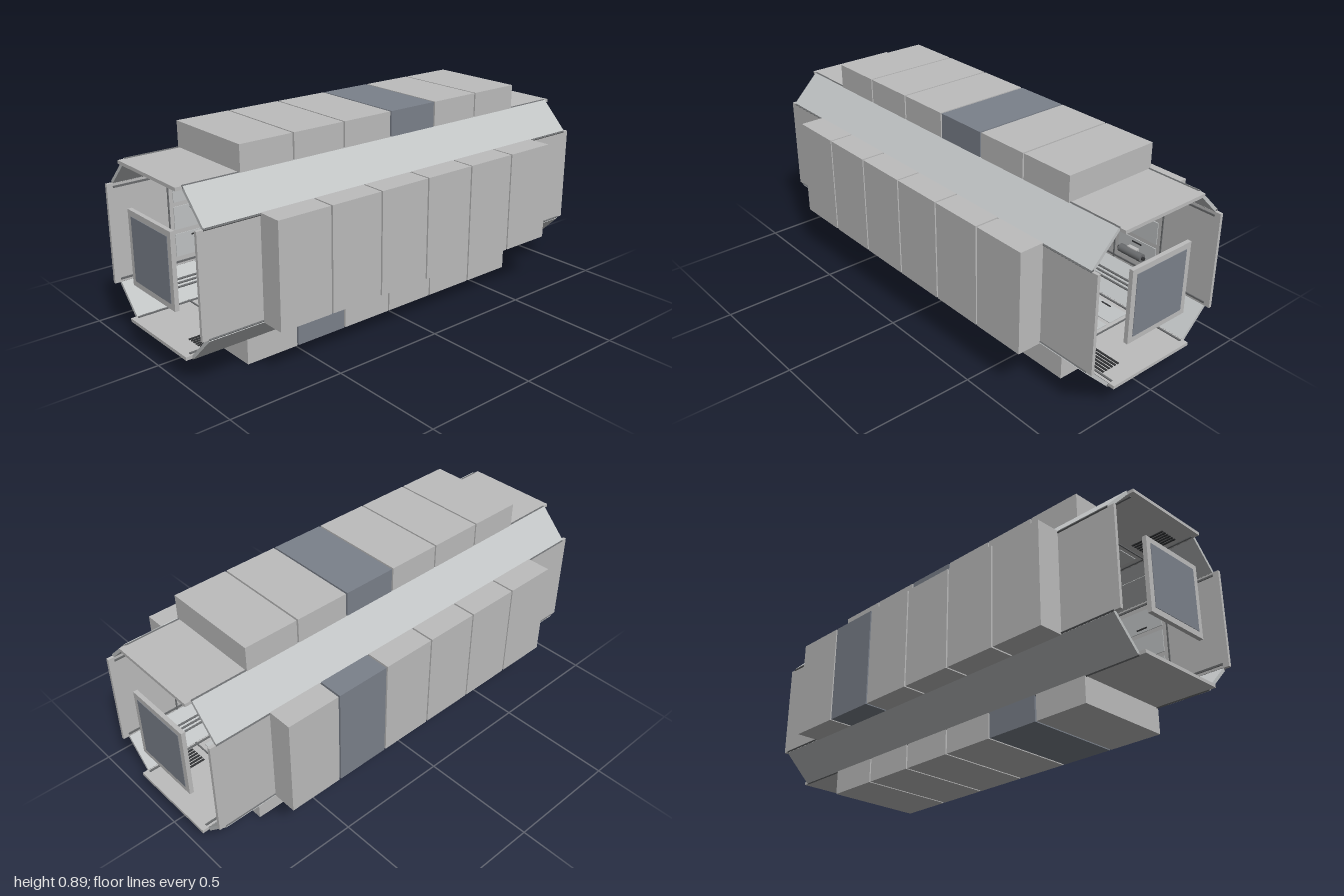
import * as THREE from 'three';

const mat = (name, color) => {
  const m = new THREE.MeshStandardMaterial({ color });
  m.name = name;
  return m;
};

export function createModel() {
  const rackGrey = mat('rackGrey', 0xbdbdbd);
  const panelGrey = mat('panelGrey', 0xc1c4c5);
  const slate = mat('slate', 0x7b818b);
  const trim = mat('darkTrim', 0x6a6c6e);
  const black = mat('black', 0x333436);

  const model = new THREE.Group();
  model.name = 'stationModule';
  const core = new THREE.Group();
  core.name = 'octagonalHull';
  core.position.y = 0.443;
  model.add(core);

  const box = (parent, name, m, w, h, d, x, y, z) => {
    const mesh = new THREE.Mesh(new THREE.BoxGeometry(w, h, d), m);
    mesh.name = name;
    mesh.position.set(x, y, z);
    parent.add(mesh);
    return mesh;
  };
  const rod = (parent, name, m, r, len, x, y, z) => {
    const mesh = new THREE.Mesh(new THREE.CylinderGeometry(r, r, len, 16), m);
    mesh.name = name;
    mesh.rotation.z = Math.PI / 2;
    mesh.position.set(x, y, z);
    parent.add(mesh);
    return mesh;
  };
  const rackX = i => -0.612 + i * 0.2445;

  // Four walls with racks; local +y points out of the hull
  const walls = ['ceiling', 'frontWall', 'floor', 'backWall'].map((name, k) => {
    const wall = new THREE.Group();
    wall.name = name;
    wall.rotation.x = k * Math.PI / 2;
    core.add(wall);
    const slateRack = [3, -1, 1, 4][k];

    box(wall, 'wallPanel', rackGrey, 1.99, 0.014, 0.42, 0, 0.329, 0);
    for (let i = 0; i < 6; i++) {
      box(wall, 'equipmentRack', i === slateRack ? slate : rackGrey,
        0.237, 0.107, 0.434, rackX(i), 0.3895, 0);
    }
    // Seams and seat tracks on the inner face
    for (let i = 0; i <= 6; i++) {
      box(wall, 'rackSeam', trim, 0.006, 0.004, 0.41, rackX(i) - 0.1222, 0.32, 0);
    }
    for (const s of [-1, 1]) {
      box(wall, 'seatTrack', trim, 1.94, 0.005, 0.008, 0, 0.32, s * 0.195);
    }
    // Drawer fronts, each a thin plate with a pull
    for (let i = 0; i < 6; i++) {
      for (const z of [-0.12, 0, 0.12]) {
        box(wall, 'drawerFront', i === slateRack ? slate : panelGrey,
          0.2, 0.005, 0.1, rackX(i), 0.321, z);
        box(wall, 'drawerPull', black, 0.05, 0.004, 0.006, rackX(i), 0.3175, z + 0.035);
      }
    }
    return wall;
  });

  // Sloped panels and corner rails between the walls
  for (let k = 0; k < 4; k++) {
    const corner = new THREE.Group();
    corner.name = 'slopedCorner';
    corner.rotation.x = Math.PI / 4 + k * Math.PI / 2;
    core.add(corner);
    box(corner, 'slopedPanel', panelGrey, 1.935, 0.014, 0.172, 0, 0.384, 0);
    for (const s of [-1, 1]) {
      box(corner, 'cornerRail', trim, 1.935, 0.013, 0.013, 0, 0.382, s * 0.086);
    }
    const upper = k === 0 || k === 3;
    if (upper) {
      // Light strips above
      for (let i = 0; i < 4; i++) {
        box(corner, 'lightStrip', panelGrey, 0.3, 0.008, 0.045, -0.66 + i * 0.44, 0.374, 0);
      }
    } else {
      // Cable runs below
      for (const z of [-0.017, 0, 0.017]) {
        rod(corner, 'cableRun', trim, 0.0045, 1.6, 0, 0.366, z);
      }
    }
  }

  // Square hatch at each end
  for (const s of [-1, 1]) {
    const hatch = new THREE.Group();
    hatch.name = 'endHatch';
    core.add(hatch);
    box(hatch, 'hatchFrame', rackGrey, 0.018, 0.314, 0.314, s * 0.988, 0, 0);
    for (const d of [-1, 1]) {
      box(hatch, 'hatchFace', slate, 0.004, 0.266, 0.266, s * 0.988 + d * 0.009, 0, 0);
    }
  }

  // Handrails on the inner walls
  const handrail = (wall, x, z, len) => {
    rod(wall, 'handrail', black, 0.004, len, x, 0.302, z);
    for (const s of [-1, 1]) {
      box(wall, 'handrailPost', black, 0.007, 0.02, 0.007, x + s * len / 2, 0.311, z);
    }
  };
  handrail(walls[0], 0.5, 0.147, 0.2);
  handrail(walls[0], -0.4, 0.147, 0.2);
  handrail(walls[2], 0.4, 0.147, 0.2);
  handrail(walls[2], -0.5, 0.147, 0.2);
  handrail(walls[3], 0.25, -0.14, 0.2);

  // Slatted vents in the ceiling and floor near the ends
  for (const [wall, z] of [[walls[0], 0.12], [walls[2], -0.14]]) {
    for (const s of [-1, 1]) {
      for (let i = 0; i < 6; i++) {
        box(wall, 'ventSlat', black, 0.15, 0.004, 0.008, s * 0.84, 0.319, z - 0.04 + i * 0.016);
      }
    }
  }

  // Loose equipment: workstation box on the front wall, canister on the back wall
  box(core, 'workstationBox', rackGrey, 0.11, 0.08, 0.048, 0.56, -0.14, 0.296);
  box(core, 'workstationPanel', slate, 0.08, 0.05, 0.004, 0.56, -0.14, 0.271);
  rod(core, 'canister', trim, 0.018, 0.12, 0.6, -0.13, -0.3);
  rod(core, 'canisterCap', black, 0.008, 0.14, 0.6, -0.13, -0.3);
  box(core, 'canisterBracket', rackGrey, 0.05, 0.045, 0.024, 0.6, -0.13, -0.311);

  return model;
}
